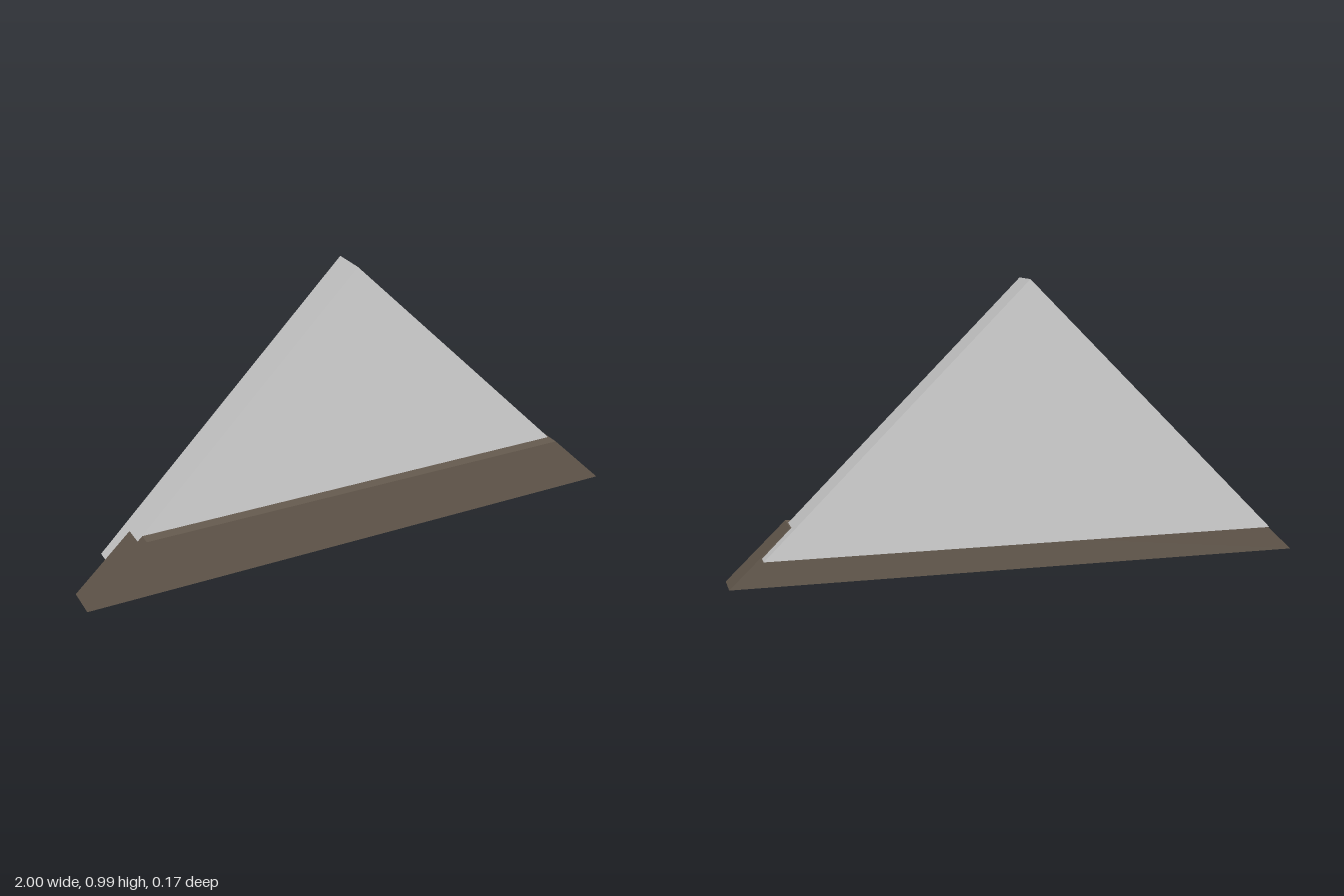
import * as THREE from 'three';

// Flat outline in x/y, extruded between two z planes
function slab(name, outline, zBack, zFront, material) {
  const shape = new THREE.Shape(outline.map(([x, y]) => new THREE.Vector2(x, y)));
  const geometry = new THREE.ExtrudeGeometry(shape, { depth: zFront - zBack, bevelEnabled: false });
  geometry.translate(0, 0, zBack);
  const mesh = new THREE.Mesh(geometry, material);
  mesh.name = name;
  return mesh;
}

export function createModel() {
  const stone = new THREE.MeshStandardMaterial({ color: 0xd2d2d2 });
  stone.name = 'light grey';
  const wood = new THREE.MeshStandardMaterial({ color: 0x665b4f });
  wood.name = 'dark brown';

  const model = new THREE.Group();
  model.name = 'gable';

  // Triangular panel, set back from the beam
  model.add(slab('gablePanel', [[-0.89, 0.097], [0.893, 0.097], [0, 0.988]], -0.084, 0.041, stone));

  // Base beam with mitred ends and a slightly sloping top
  model.add(slab('baseBeam', [[-1, 0], [1, 0], [0.8, 0.194], [-0.786, 0.2]], -0.036, 0.084, wood));

  return model;
}
